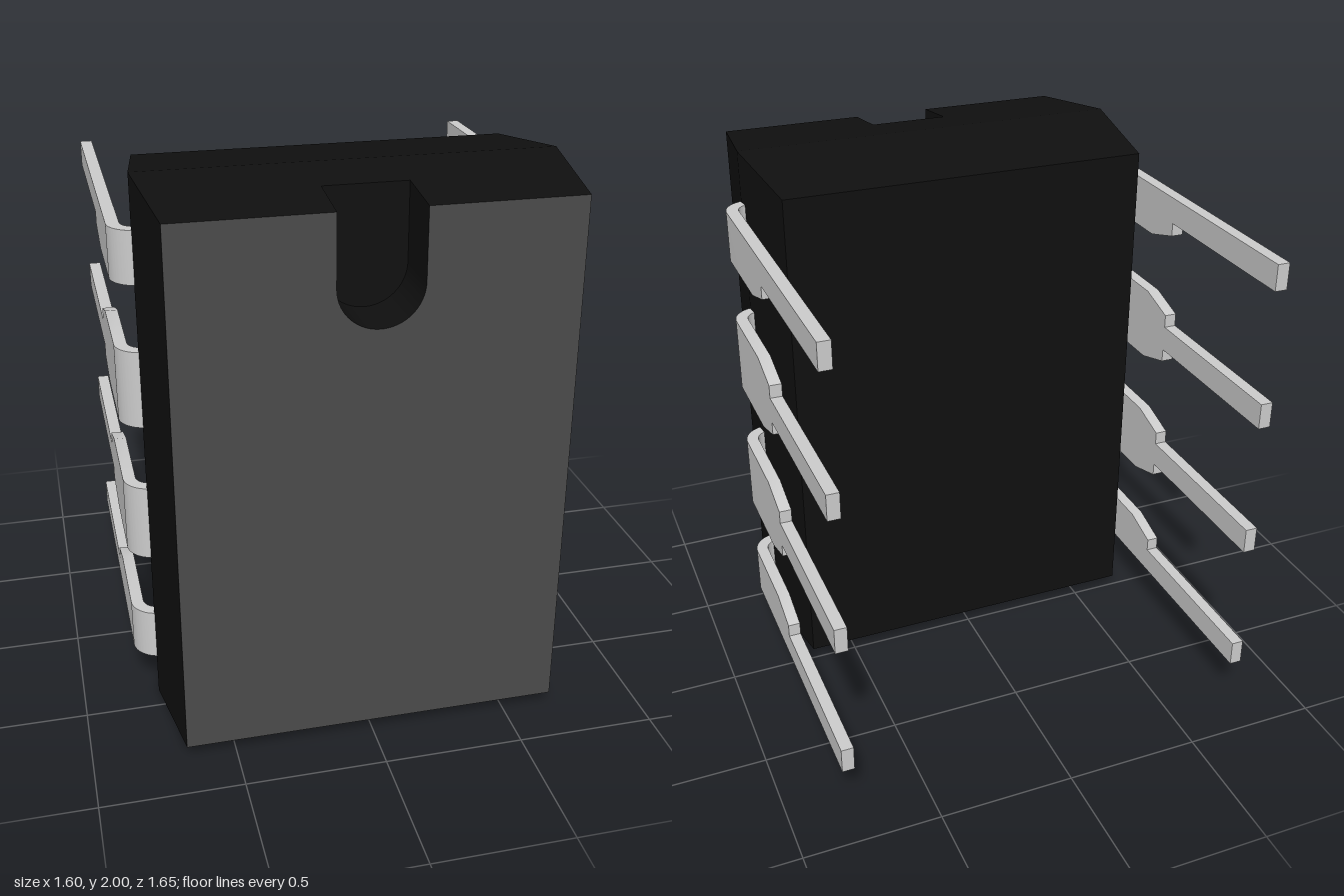
import * as THREE from 'three';
import { toCreasedNormals, mergeGeometries } from 'three/addons/utils/BufferGeometryUtils.js';

const MID = 0.41, FRONT = 0.825, BACK = -0.01, FLOOR = 0.62;
const HALF_W = 0.725, TOP = 2, NOTCH_R = 0.145, NOTCH_Y = 1.705;

// Outline of the case, optionally with the round-ended slot in its top edge
function caseOutline(notched) {
  const s = new THREE.Shape();
  s.moveTo(-HALF_W, 0);
  s.lineTo(HALF_W, 0);
  s.lineTo(HALF_W, TOP);
  if (notched) {
    s.lineTo(NOTCH_R, TOP);
    s.lineTo(NOTCH_R, NOTCH_Y);
    s.absarc(0, NOTCH_Y, NOTCH_R, 0, -Math.PI, true);
    s.lineTo(-NOTCH_R, TOP);
  }
  s.lineTo(-HALF_W, TOP);
  s.closePath();
  return s;
}

// Slab of the case between two depths, its outer walls drafted away from the middle
function caseSlab(z0, z1, notched) {
  const g = new THREE.ExtrudeGeometry(caseOutline(notched),
    { depth: z1 - z0, bevelEnabled: false, curveSegments: 24 });
  g.translate(0, 0, z0);
  const p = g.attributes.position;
  for (let i = 0; i < p.count; i++) {
    const x = p.getX(i), y = p.getY(i);
    const inset = 0.05 * Math.abs(p.getZ(i) - MID) / (FRONT - MID);
    if (Math.abs(x) > 0.3) p.setX(i, x - Math.sign(x) * inset);
    if (y > 1.95) p.setY(i, y - inset);
    if (y < 0.05) p.setY(i, y + inset);
  }
  return toCreasedNormals(g, 0.5);
}

// Lead: a bend coming out of the case and a flat blade running backward.
// up and down are the half heights of the wide part, taper end and thin part.
function leadGeometry(side, y, up, down) {
  const thick = 0.045, outerX = 0.8, bendX = 0.7, bendZ = 0.32, r = 0.1;
  const blade = new THREE.Shape([
    [bendZ, up[0]], [-0.005, up[0]], [-0.15, up[1]], [-0.15, up[2]], [-FRONT, up[2]],
    [-FRONT, -down[2]], [-0.15, -down[2]], [-0.15, -down[1]], [-0.005, -down[0]], [bendZ, -down[0]],
  ].map(([z, v]) => new THREE.Vector2(z, y + v)));
  const flat = new THREE.ExtrudeGeometry(blade, { depth: thick, bevelEnabled: false });
  flat.rotateY(-Math.PI / 2);
  flat.translate(side > 0 ? outerX : -outerX + thick, 0, 0);

  const arc = new THREE.Shape();
  arc.absarc(bendX, bendZ, r, 0, Math.PI / 2, false);
  arc.lineTo(bendX - 0.03, bendZ + r);
  arc.lineTo(bendX - 0.03, bendZ + r - thick);
  arc.absarc(bendX, bendZ, r - thick, Math.PI / 2, 0, true);
  const pts = arc.getPoints(14).map((q) => new THREE.Vector2(q.x * side, q.y));
  const bend = new THREE.ExtrudeGeometry(new THREE.Shape(pts),
    { depth: up[0] + down[0], bevelEnabled: false });
  bend.rotateX(Math.PI / 2);
  bend.translate(0, y + up[0], 0);
  return toCreasedNormals(mergeGeometries([flat, bend]), 0.5);
}

export function createModel() {
  const model = new THREE.Group();
  model.name = 'chipPackage';
  const black = new THREE.MeshStandardMaterial({ color: 0x0f0f0f });
  const faceGrey = new THREE.MeshStandardMaterial({ color: 0x4a4a4a });
  const metal = new THREE.MeshStandardMaterial({ color: 0xcccccc });

  const add = (parent, name, geometry, material) => {
    const mesh = new THREE.Mesh(geometry, material);
    mesh.name = name;
    parent.add(mesh);
  };

  // Case: back half, front half up to the notch floor, then the notched layer with its grey face
  const body = new THREE.Group();
  body.name = 'case';
  model.add(body);
  add(body, 'caseBack', caseSlab(BACK, MID, false), black);
  add(body, 'caseMiddle', caseSlab(MID, FLOOR, false), black);
  add(body, 'caseFront', caseSlab(FLOOR, FRONT, true), [faceGrey, black]);

  // Four leads per side; the end ones are trimmed on their outer edge
  const full = [0.14, 0.097, 0.048], trimmed = [0.048, 0.048, 0.048];
  const leads = new THREE.Group();
  leads.name = 'leads';
  model.add(leads);
  for (const side of [1, -1]) {
    for (let i = 0; i < 4; i++) {
      const g = leadGeometry(side, 0.208 + i * 0.518,
        i === 3 ? trimmed : full, i === 0 ? trimmed : full);
      add(leads, (side > 0 ? 'leftLead' : 'rightLead') + (i + 1), g, metal);
    }
  }
  return model;
}
